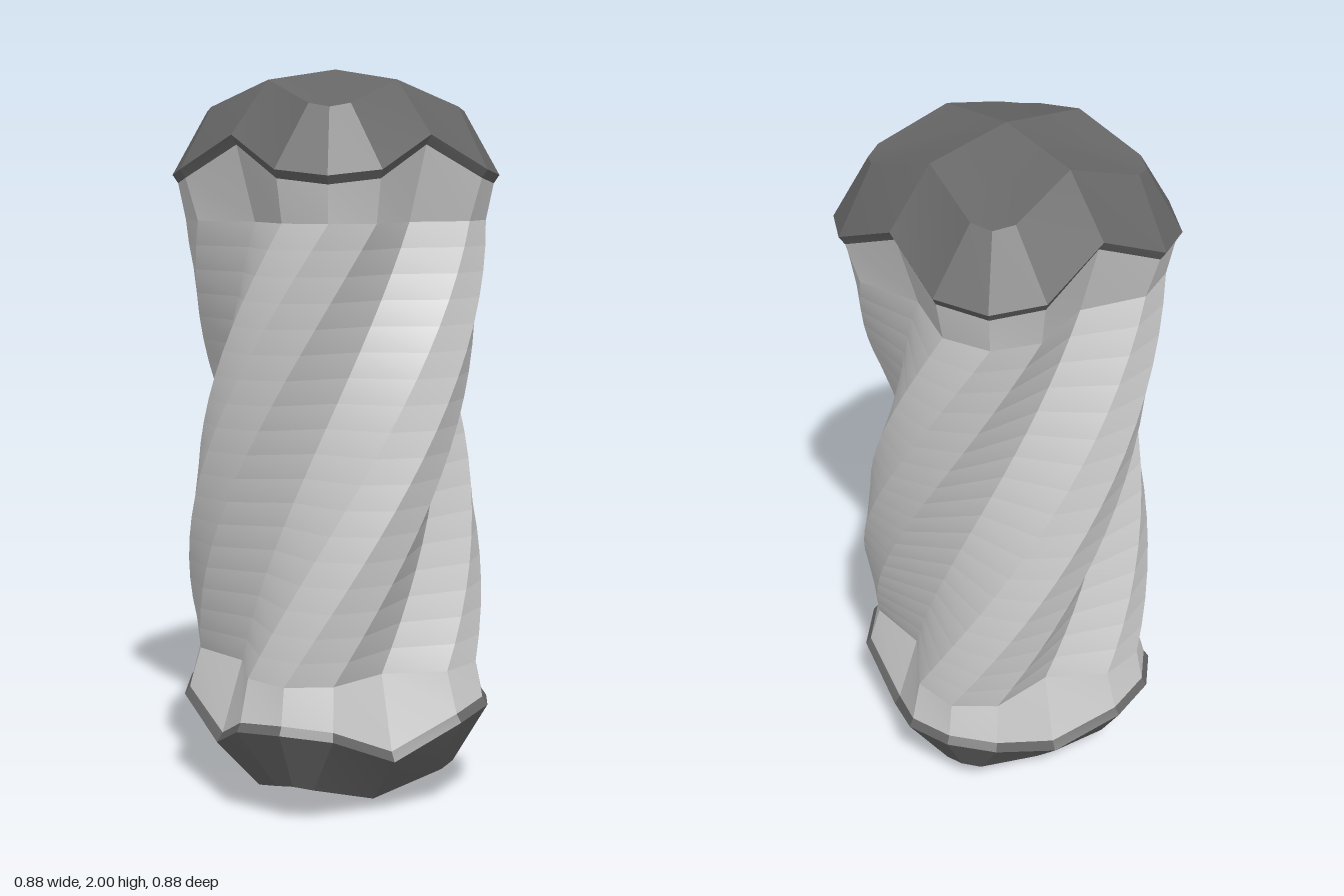
import * as THREE from 'three';

const DEG = Math.PI / 180;
const TOP_TURN = 3.6, BOTTOM_TURN = -13.1;
const TWIST = 90 + TOP_TURN - BOTTOM_TURN;

// A ring of 12 points: four lobes, each a valley, two shoulders and a tip.
// Arguments are [radius, height] pairs; spread is the shoulder angle from the tip.
function lobedRing(tip, shoulder, valley, spread, turn = 0) {
  const ring = [];
  for (let lobe = 0; lobe < 4; lobe++) {
    const profile = [[-45, valley], [-spread, shoulder], [0, tip], [spread, shoulder]];
    for (const [offset, [r, y]] of profile) {
      const a = (lobe * 90 + offset + turn) * DEG;
      ring.push([r * Math.sin(a), y, r * Math.cos(a)]);
    }
  }
  return ring;
}

// Skin a stack of rings from bottom to top, one flat-looking facet per quad.
// With an apex, each lobe of the last ring closes to it as a single facet.
function loft(rings, apex) {
  const points = [], index = [];
  const addFan = (...corners) => {
    const start = points.length / 3;
    points.push(...corners.flat());
    for (let i = 1; i < corners.length - 1; i++) index.push(start, start + i, start + i + 1);
  };
  for (let k = 0; k < rings.length - 1; k++) {
    const low = rings[k], high = rings[k + 1];
    low.forEach((point, i) => {
      const j = (i + 1) % low.length;
      addFan(high[i], point, low[j], high[j]);
    });
  }
  if (apex) {
    const last = rings[rings.length - 1];
    for (let i = 0; i < last.length; i += 4) {
      addFan(apex, ...last.slice(i, i + 4), last[(i + 4) % last.length]);
    }
  }
  const geometry = new THREE.BufferGeometry();
  geometry.setAttribute('position', new THREE.Float32BufferAttribute(points, 3));
  geometry.setIndex(index);
  geometry.computeVertexNormals();
  return geometry;
}

// Twisted, deeply fluted shaft with an untwisted neck flaring to the scalloped rim at each end
function shaftGeometry() {
  const steps = 18;
  const rings = [lobedRing([0.428, 0.302], [0.412, 0.287], [0.345, 0.202], 18.4, BOTTOM_TURN)];
  for (let i = 0; i <= steps; i++) {
    const t = i / steps, y = 0.4 + 1.2 * t;
    rings.push(lobedRing([0.408, y], [0.38, y], [0.285, y], 18.4, BOTTOM_TURN + TWIST * t));
  }
  const topTurn = BOTTOM_TURN + TWIST;
  rings.push(lobedRing([0.428, 1.698], [0.412, 1.713], [0.345, 1.798], 18.4, topTurn));
  return loft(rings);
}

// Domed cap: under-lip, rim, crown outline and apex
function capGeometry() {
  return loft([
    lobedRing([0.428, 1.698], [0.412, 1.713], [0.345, 1.798], 18.4),
    lobedRing([0.443, 1.72], [0.427, 1.735], [0.362, 1.823], 18.4),
    lobedRing([0.346, 1.89], [0.333, 1.9], [0.237, 1.965], 9.2),
  ], [0, 2, 0]);
}

export function createModel() {
  const group = new THREE.Group();
  const light = new THREE.MeshStandardMaterial({ color: 0xcccccc });
  const dark = new THREE.MeshStandardMaterial({ color: 0x666666 });

  const shaft = new THREE.Mesh(shaftGeometry(), light);
  shaft.name = 'twistedShaft';

  const cap = capGeometry();
  const topCap = new THREE.Mesh(cap, dark);
  topCap.name = 'topCap';
  topCap.rotation.y = TOP_TURN * DEG;

  // The same cap turned over to form the base
  const bottomCap = new THREE.Mesh(cap, dark);
  bottomCap.name = 'bottomCap';
  bottomCap.rotation.set(Math.PI, -BOTTOM_TURN * DEG, 0);
  bottomCap.position.y = 2;

  group.add(shaft, topCap, bottomCap);
  return group;
}
